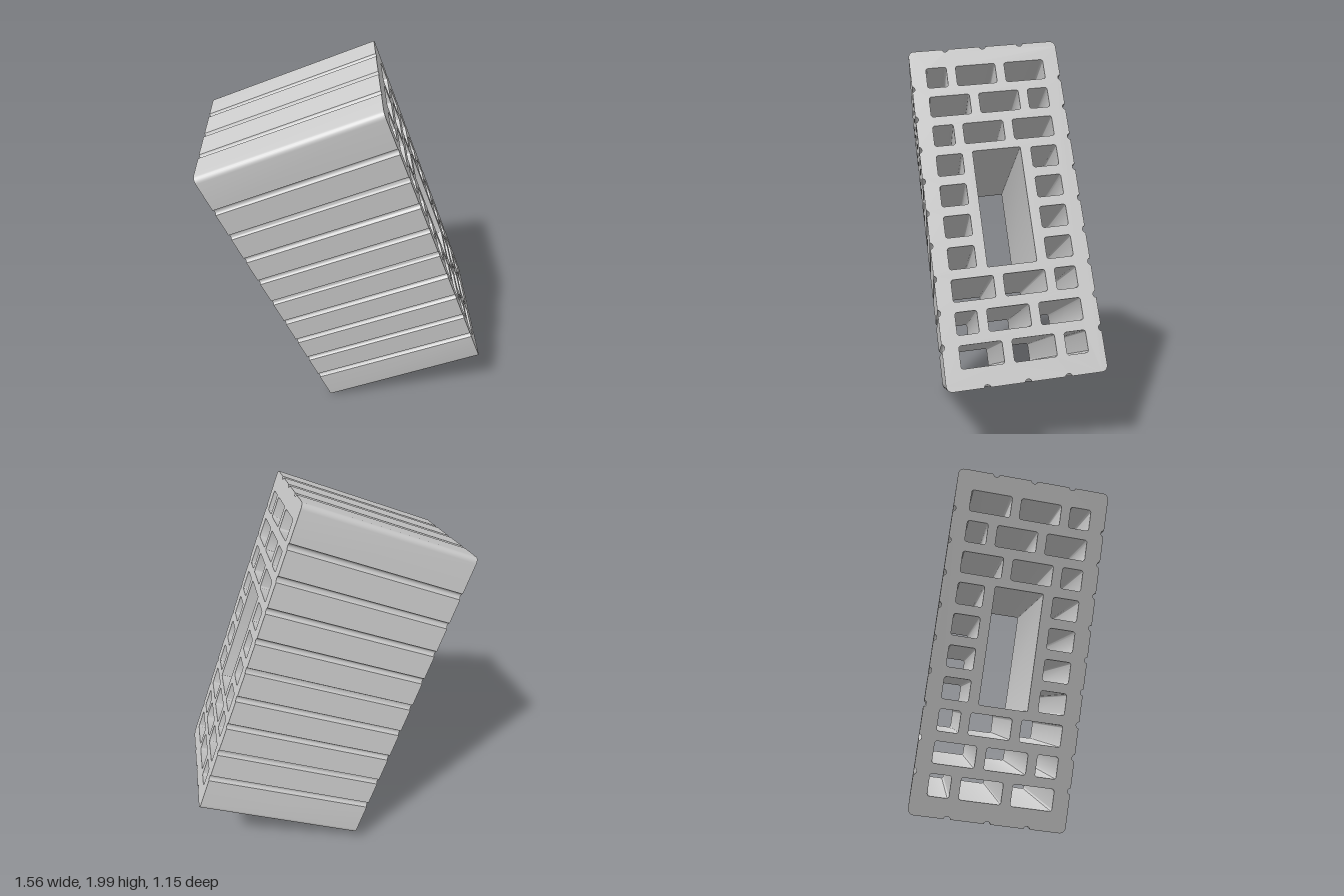
import * as THREE from 'three';
import { toCreasedNormals } from 'three/addons/utils/BufferGeometryUtils.js';

const W = 0.772, H = 1.718, D = 0.92;   // cross-section width, height, and depth of the block
const CORNER = 0.03, GROOVE = 0.016, GROOVE_DEPTH = 0.014;

// Rounded rectangle traced as a hole
function cell(u0, u1, v0, v1, r) {
  const p = new THREE.Path();
  p.moveTo(u0 + r, v0);
  p.lineTo(u1 - r, v0);
  p.absarc(u1 - r, v0 + r, r, -Math.PI / 2, 0);
  p.lineTo(u1, v1 - r);
  p.absarc(u1 - r, v1 - r, r, 0, Math.PI / 2);
  p.lineTo(u0 + r, v1);
  p.absarc(u0 + r, v1 - r, r, Math.PI / 2, Math.PI);
  p.lineTo(u0, v0 + r);
  p.absarc(u0 + r, v0 + r, r, Math.PI, Math.PI * 1.5);
  return p;
}

// Outline: four sides, each with evenly spaced grooves and a rounded corner
function outline() {
  const pts = [];
  for (let s = 0; s < 4; s++) {
    const flat = s % 2 === 0;
    const half = (flat ? W : H) / 2, out = (flat ? H : W) / 2;
    const n = flat ? 3 : 9, pitch = flat ? 0.195 : 0.163;
    const angle = s * Math.PI / 2;
    const add = (along, away) => pts.push(
      new THREE.Vector2(along, -away).rotateAround(new THREE.Vector2(), angle));
    for (let i = 0; i < n; i++) {
      const c = (i - (n - 1) / 2) * pitch;
      for (let k = 0; k <= 6; k++) {
        const t = Math.PI * k / 6;
        add(c - GROOVE * Math.cos(t), out - GROOVE_DEPTH * Math.sin(t));
      }
    }
    for (let k = 0; k <= 6; k++) {
      const t = Math.PI / 2 * k / 6;
      add(half - CORNER + CORNER * Math.sin(t), out - CORNER + CORNER * Math.cos(t));
    }
  }
  return new THREE.Shape(pts);
}

export function createModel() {
  const shape = outline();

  // Ten rows of cells: staggered bond at the ends, one cell each side of the core in the middle
  const edge = 0.306, small = 0.105, large = 0.206, gap = 0.0475, side = 0.132;
  for (let row = 0; row < 10; row++) {
    const v = (4.5 - row) * 0.157, h = 0.054;
    if (row > 2 && row < 7) {
      shape.holes.push(cell(-edge, -edge + side, v - h, v + h, 0.012));
      shape.holes.push(cell(edge - side, edge, v - h, v + h, 0.012));
      continue;
    }
    const widths = row % 2 === 0 ? [small, large, large] : [large, large, small];
    let u = -edge;
    for (const w of widths) {
      shape.holes.push(cell(u, u + w, v - h, v + h, 0.012));
      u += w + gap;
    }
  }
  // Central core
  shape.holes.push(cell(-0.122, 0.122, -0.296, 0.296, 0.008));

  const geometry = new THREE.ExtrudeGeometry(shape, { depth: D, bevelEnabled: false, curveSegments: 4 });
  geometry.translate(0, 0, -D / 2);
  const block = new THREE.Mesh(
    toCreasedNormals(geometry, Math.PI / 5),
    new THREE.MeshStandardMaterial({ color: 0xcccccc }));
  block.name = 'hollowBlock';

  // Tilted pose, balanced on one corner
  const x = new THREE.Vector3(-0.2, 0.09, -0.975).normalize();
  const up = new THREE.Vector3(-0.33, 0.931, 0.154);
  const z = new THREE.Vector3().crossVectors(x, up).normalize();
  const y = new THREE.Vector3().crossVectors(z, x);
  block.quaternion.setFromRotationMatrix(new THREE.Matrix4().makeBasis(x, y, z));
  block.position.y = 1;

  const group = new THREE.Group();
  group.name = 'block';
  group.add(block);
  return group;
}
